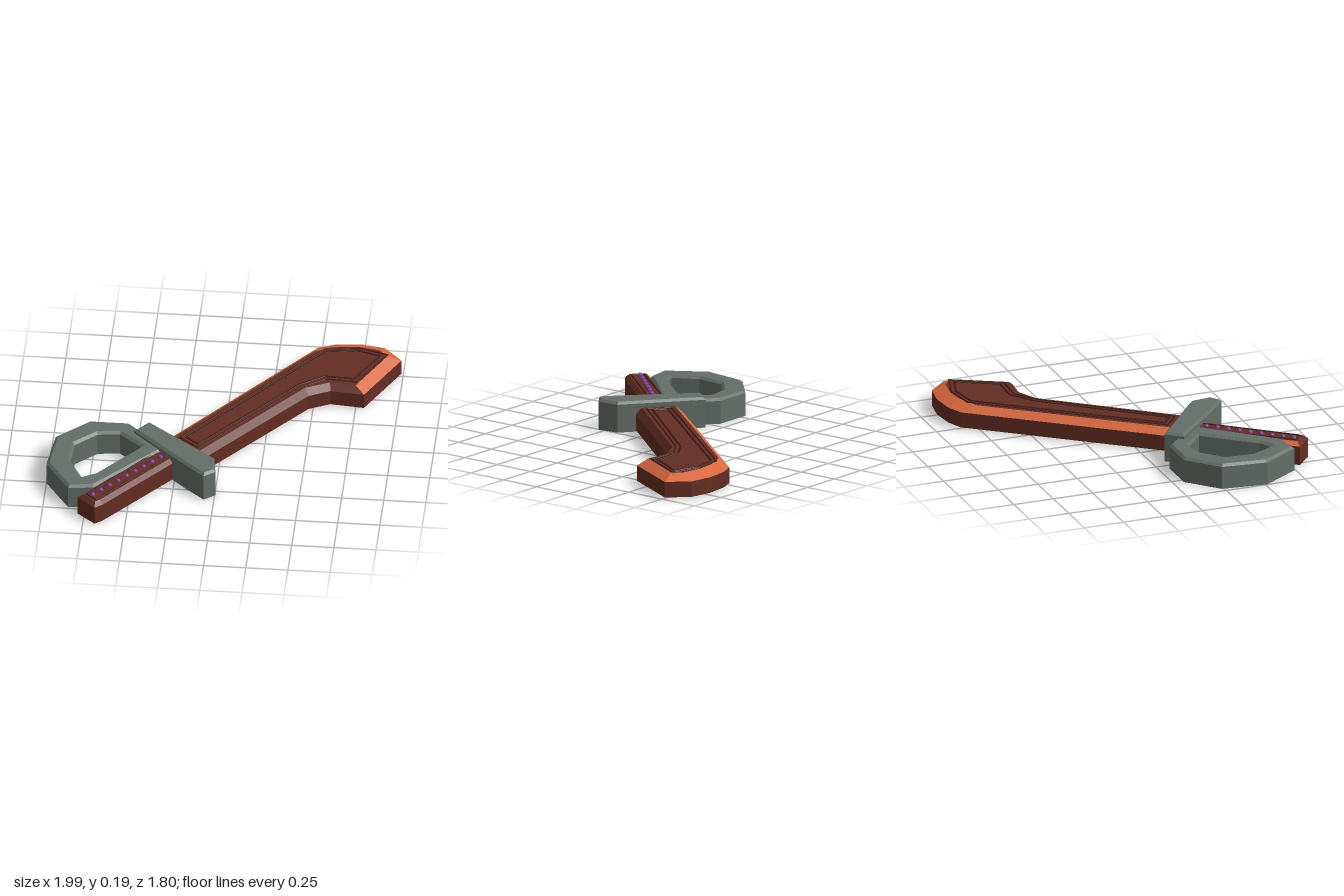
import * as THREE from 'three';

const mat = (name, color) => new THREE.MeshStandardMaterial({ name, color });

// Insets a closed [x, z] loop; widths is one number or one per edge.
function inset(loop, widths) {
  const n = loop.length;
  const w = i => (Array.isArray(widths) ? widths[i] : widths);
  const edge = i => {
    const a = loop[i], b = loop[(i + 1) % n];
    const dx = b[0] - a[0], dz = b[1] - a[1], l = Math.hypot(dx, dz);
    return { nx: -dz / l, nz: dx / l, w: w(i) };
  };
  return loop.map((p, i) => {
    const e = edge((i + n - 1) % n), f = edge(i);
    const det = e.nx * f.nz - e.nz * f.nx;
    if (Math.abs(det) < 1e-4) return [p[0] + f.nx * f.w, p[1] + f.nz * f.w];
    return [p[0] + (e.w * f.nz - f.w * e.nz) / det, p[1] + (e.nx * f.w - f.nx * e.w) / det];
  });
}

function meshFrom(name, positions, material) {
  const g = new THREE.BufferGeometry();
  g.setAttribute('position', new THREE.Float32BufferAttribute(positions, 3));
  g.computeVertexNormals();
  const m = new THREE.Mesh(g, material);
  m.name = name;
  return m;
}

// Flat slab with a chamfered top: loops[0] is the outline, the rest are holes.
// The chamfers of the first edgeCount outline edges take edgeMaterial.
function slab(name, loops, y, widths, material, edgeMaterial, edgeCount = 0) {
  const [y0, y1, y2] = y, body = [], trim = [];
  const tops = loops.map(l => inset(l, widths));
  const quad = (out, a, b, ya, c, d, yb) => out.push(
    b[0], ya, b[1], a[0], ya, a[1], c[0], yb, c[1],
    b[0], ya, b[1], c[0], yb, c[1], d[0], yb, d[1]);
  loops.forEach((loop, k) => loop.forEach((a, i) => {
    const j = (i + 1) % loop.length;
    quad(body, a, loop[j], y0, a, loop[j], y1);
    quad(k === 0 && i < edgeCount ? trim : body, a, loop[j], y1, tops[k][i], tops[k][j], y2);
  }));
  const cap = (rings, h, up) => {
    const v = rings.map(r => r.map(p => new THREE.Vector2(p[0], p[1])));
    const pts = v.flat();
    for (const t of THREE.ShapeUtils.triangulateShape(v[0], v.slice(1))) {
      let [a, b, c] = t.map(i => pts[i]);
      const s = (b.y - a.y) * (c.x - a.x) - (b.x - a.x) * (c.y - a.y);
      if ((s > 0) !== up) [b, c] = [c, b];
      for (const p of [a, b, c]) body.push(p.x, h, p.y);
    }
  };
  cap(tops, y2, true);
  cap(loops, y0, false);
  const group = new THREE.Group();
  group.name = name;
  group.add(meshFrom(name + 'Body', body, material));
  if (trim.length) group.add(meshFrom(name + 'Edge', trim, edgeMaterial));
  return group;
}

// Thin inlaid line following a loop
const line = (name, loop, offset, width, y, material) => slab(name,
  [inset(loop, offset), inset(loop, offset + width).reverse()], [y - 0.004, y, y + 0.003], 0.002, material);

export function createModel() {
  const model = new THREE.Group();
  model.name = 'sword';
  const brown = mat('brown', 0x632d23);
  const darkBrown = mat('darkBrown', 0x3f1c16);
  const orange = mat('orange', 0xd8683f);
  const grey = mat('grey', 0x656e69);
  const purple = mat('purple', 0x7438a0);

  // Blade with a flared tip and orange cutting edge
  const blade = [[-0.35, 0.2], [0.49, -0.85], [0.59, -0.89], [0.735, -0.905], [0.88, -0.88],
    [0.99, -0.765], [0.8, -0.4], [0.6, -0.42], [0.475, -0.36], [-0.14, 0.39]];
  model.add(slab('blade', [blade], [0.01, 0.105, 0.143],
    [0.046, 0.08, 0.08, 0.08, 0.07, 0.065, 0.035, 0.035, 0.035, 0.02], brown, orange, 6));

  // Double line around the blade's panel
  const panel = [[-0.2, 0.175], [0.55, -0.765], [0.725, -0.79], [0.87, -0.745],
    [0.735, -0.5], [0.555, -0.51], [0.41, -0.41], [-0.125, 0.235]];
  model.add(line('panelOuterLine', panel, -0.03, 0.009, 0.145, darkBrown));
  model.add(line('panelInnerLine', panel, -0.004, 0.012, 0.145, darkBrown));

  // Grip
  const grip = [[-0.79, 0.8], [-0.345, 0.245], [-0.22, 0.36], [-0.635, 0.86], [-0.68, 0.895]];
  model.add(slab('grip', [grip], [0.004, 0.12, 0.143], 0.025, brown, orange, 1));
  model.add(line('gripLine', grip, 0.036, 0.009, 0.145, darkBrown));

  // Row of studs along the grip
  const studGeometry = new THREE.SphereGeometry(0.016, 8, 6);
  for (let i = 0; i < 9; i++) {
    const t = i / 8, stud = new THREE.Mesh(studGeometry, purple);
    stud.name = 'stud';
    stud.position.set(-0.7 + 0.365 * t, 0.143, 0.797 - 0.412 * t);
    model.add(stud);
  }

  // Hand guard loop
  const hoop = [[-0.785, 0.065], [-0.55, 0.065], [-0.49, 0.12], [-0.3, 0.3], [-0.355, 0.345],
    [-0.7, 0.72], [-0.85, 0.74], [-1, 0.51], [-0.97, 0.235]];
  const hole = [[-0.725, 0.19], [-0.595, 0.175], [-0.457, 0.29], [-0.7, 0.58],
    [-0.78, 0.625], [-0.86, 0.475], [-0.85, 0.305]].reverse();
  model.add(slab('handGuard', [hoop, hole], [0.001, 0.14, 0.155], 0.016, grey));

  // Crossguard
  const cross = [[-0.51, 0.175], [-0.43, 0.08], [-0.013, 0.41], [0.005, 0.54], [-0.06, 0.59], [-0.165, 0.5]];
  model.add(slab('crossguard', [cross], [0, 0.17, 0.185], 0.014, grey));

  return model;
}
